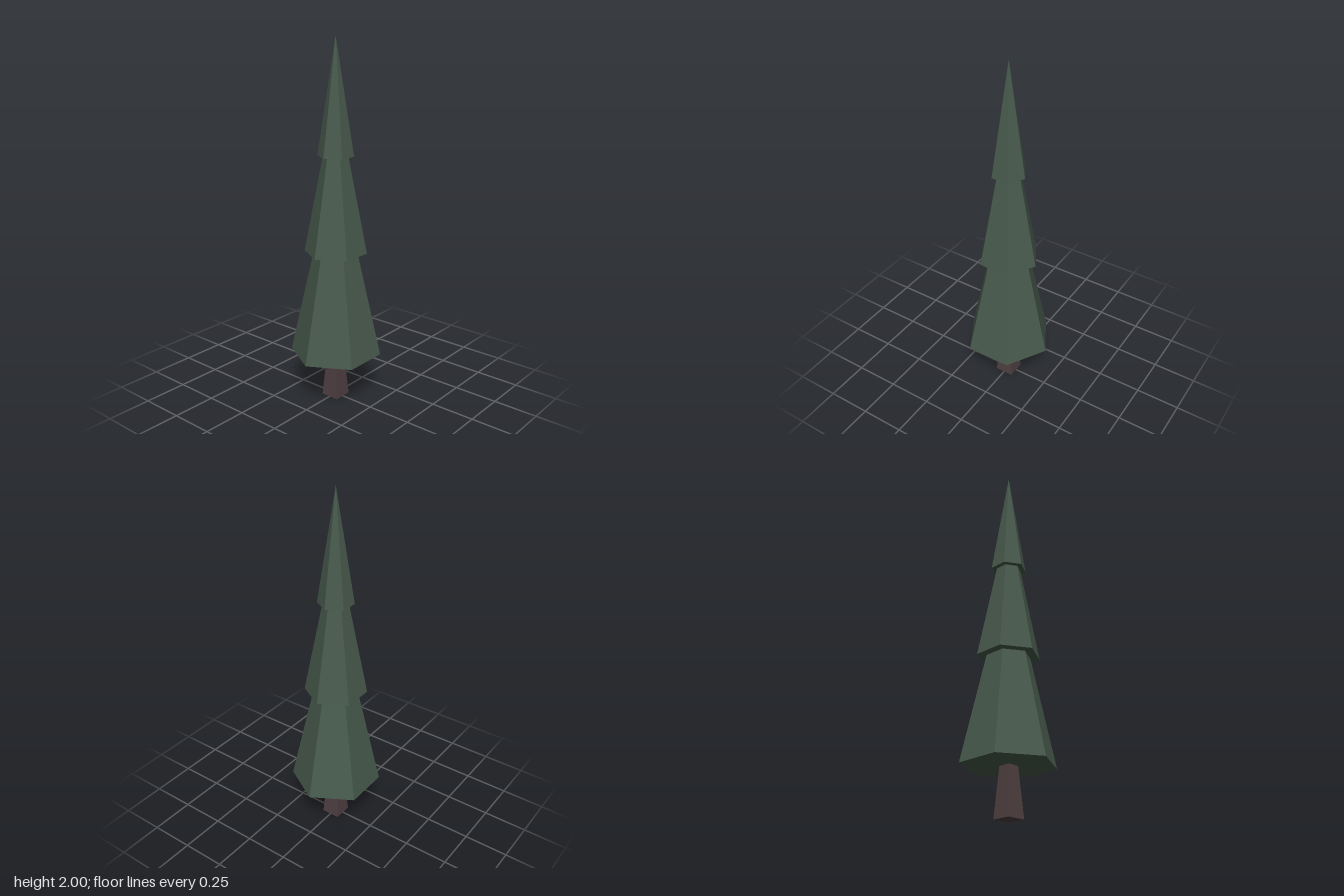
import * as THREE from 'three';

export function createModel() {
  const tree = new THREE.Group();
  tree.name = 'pineTree';

  const bark = new THREE.MeshStandardMaterial({ color: 0x4f3f41, flatShading: true });
  const needles = new THREE.MeshStandardMaterial({ color: 0x485a4d, flatShading: true });

  // Tapered square trunk, running a little way into the foliage
  const trunkHeight = 0.32;
  const trunkGeometry = new THREE.CylinderGeometry(0.029 * Math.SQRT2, 0.053 * Math.SQRT2, trunkHeight, 4);
  trunkGeometry.rotateY(Math.PI / 4);
  trunkGeometry.translate(0, trunkHeight / 2, 0);
  const trunk = new THREE.Mesh(trunkGeometry, bark);
  trunk.name = 'trunk';
  tree.add(trunk);

  // Three stacked six-sided cones: each peak hides inside the tier above
  const tiers = [
    { name: 'lowerFoliage', radius: 0.253, base: 0.265, peak: 1.39 },
    { name: 'middleFoliage', radius: 0.172, base: 0.853, peak: 1.73 },
    { name: 'upperFoliage', radius: 0.098, base: 1.382, peak: 2 },
  ];
  for (const { name, radius, base, peak } of tiers) {
    const geometry = new THREE.ConeGeometry(radius, peak - base, 6);
    geometry.translate(0, (base + peak) / 2, 0);
    const tier = new THREE.Mesh(geometry, needles);
    tier.name = name;
    tree.add(tier);
  }

  return tree;
}
